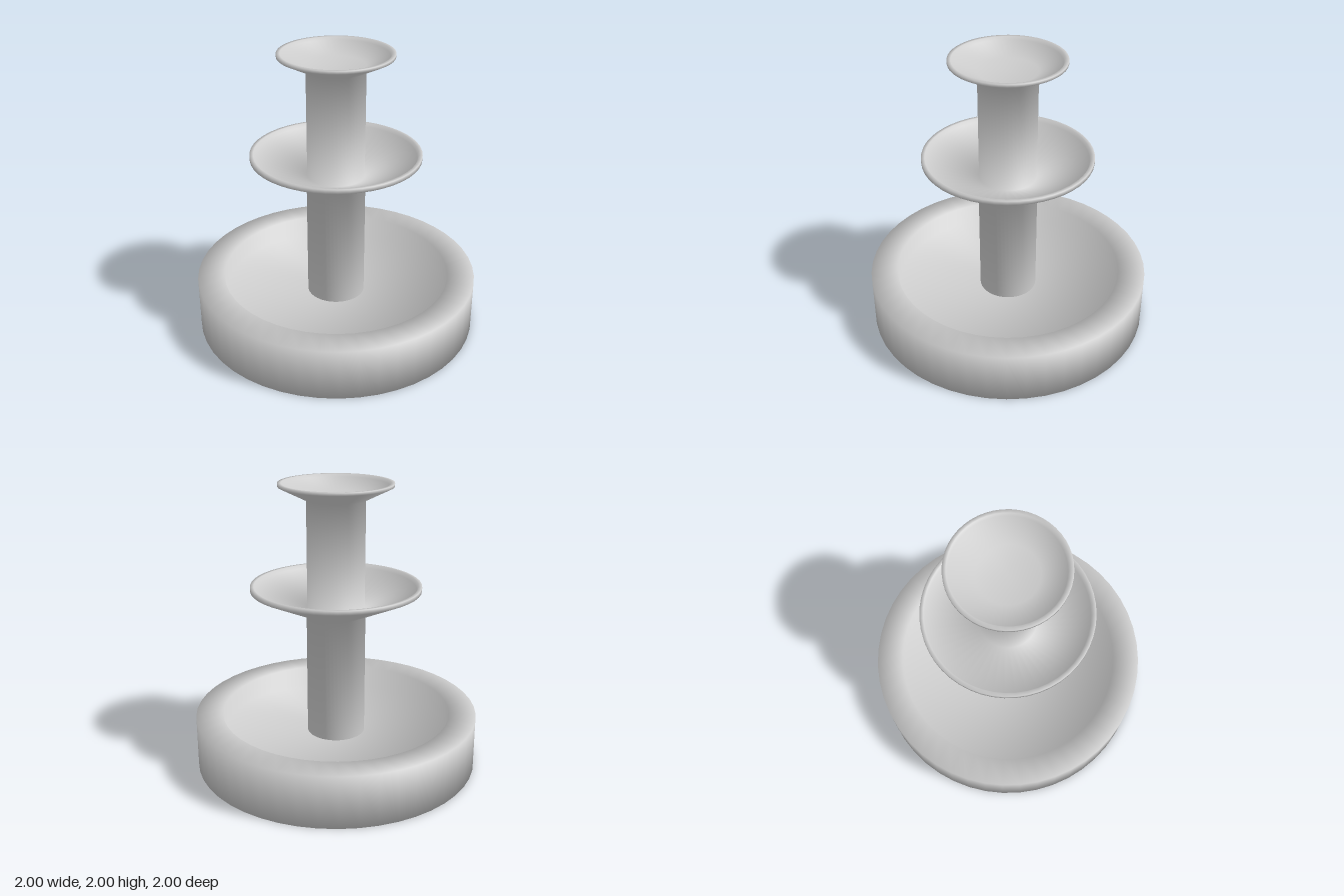
import * as THREE from 'three';

const SEGMENTS = 48;

// Half profile of the basin, from the underside over the rim to the sunken floor.
const BASIN = [[0, 0], [1, 0], [1, 0.37], [0.81, 0.37], [0.81, 0.21], [0, 0.21]];

// Half profile of the columns and dishes standing in the basin.
const TIERS = [
  [0.205, 0.21], [0.205, 1.09],                                          // lower column
  [0.59, 1.27], [0.59, 1.3], [0.565, 1.3], [0.555, 1.275], [0.2, 1.13],  // middle dish
  [0.2, 1.885],                                                          // upper column
  [0.39, 1.98], [0.39, 2], [0.365, 2], [0.355, 1.98], [0.2, 1.915], [0, 1.915], // top dish
];

// Lathe whose normals average the two neighbouring bands evenly.
function smoothLathe(profile) {
  const points = profile.map(([r, y]) => new THREE.Vector2(r, y));
  const lathe = new THREE.LatheGeometry(points, SEGMENTS);
  const bands = points.slice(1).map((p, i) => {
    const d = p.clone().sub(points[i]).normalize();
    return new THREE.Vector2(d.y, -d.x);
  });
  const normal = lathe.getAttribute('normal');
  for (let s = 0; s <= SEGMENTS; s++) {
    const angle = (s / SEGMENTS) * Math.PI * 2;
    points.forEach((p, j) => {
      const before = bands[Math.max(j - 1, 0)];
      const after = bands[Math.min(j, bands.length - 1)];
      const n = before.clone().add(after).normalize();
      normal.setXYZ(s * points.length + j, n.x * Math.sin(angle), n.y, n.x * Math.cos(angle));
    });
  }
  return lathe;
}

// Keep only the bands of a lathe between two profile points.
function bandGeometry(lathe, bands, from, to) {
  const index = lathe.getIndex();
  const kept = [];
  for (let s = 0; s < SEGMENTS; s++) {
    for (let b = from; b < to; b++) {
      for (let k = 0; k < 6; k++) kept.push(index.getX((s * bands + b) * 6 + k));
    }
  }
  const part = lathe.clone();
  part.setIndex(kept);
  return part.toNonIndexed();
}

export function createModel() {
  const fountain = new THREE.Group();
  fountain.name = 'fountain';
  const stone = new THREE.MeshStandardMaterial({ color: 0xcccccc });
  stone.name = 'stone';

  const add = (name, geometry) => {
    const mesh = new THREE.Mesh(geometry, stone);
    mesh.name = name;
    fountain.add(mesh);
  };

  add('basin', smoothLathe(BASIN));

  // Columns and dishes are runs of one lathe, so shading flows across the joints.
  const tiers = smoothLathe(TIERS);
  const parts = [
    ['lowerColumn', 0, 1],
    ['middleDish', 1, 6],
    ['upperColumn', 6, 7],
    ['topDish', 7, 13],
  ];
  for (const [name, from, to] of parts) add(name, bandGeometry(tiers, TIERS.length - 1, from, to));
  return fountain;
}
